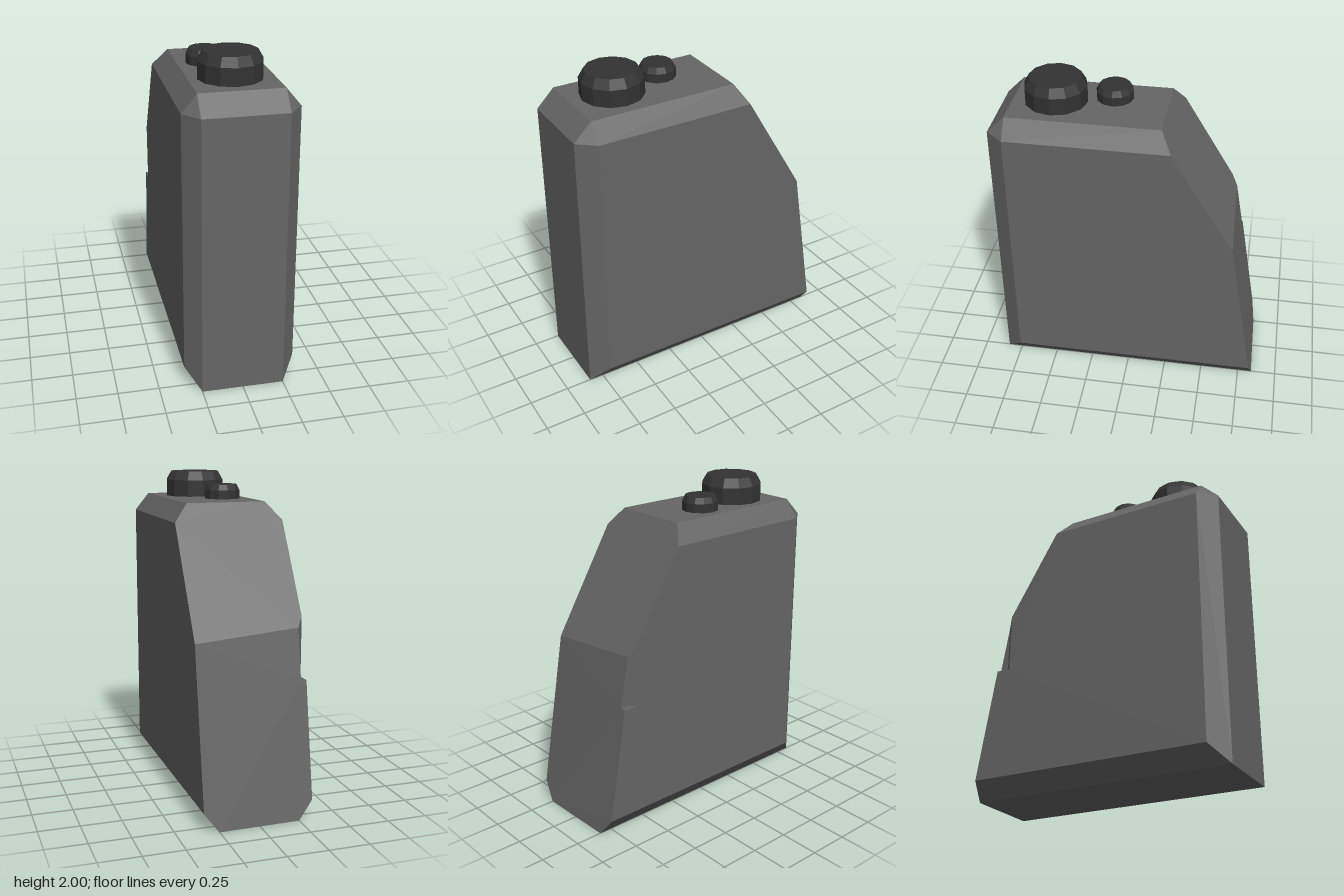
import * as THREE from 'three';

const V = (x, y, z) => new THREE.Vector3(x, y, z);

// Builds a faceted solid from flat polygons, each turned away from an inner point
function facetedSolid(faces, inside) {
  const out = [];
  for (const pts of faces) {
    const n = V(0, 0, 0), mid = V(0, 0, 0);
    pts.forEach((p, i) => {
      n.add(p.clone().cross(pts[(i + 1) % pts.length]));
      mid.addScaledVector(p, 1 / pts.length);
    });
    n.normalize();
    if (n.dot(mid.clone().sub(inside)) < 0) { pts.reverse(); n.negate(); }
    // flatten onto the polygon's own plane for triangulation
    const u = pts[1].clone().sub(pts[0]).normalize();
    const v = n.clone().cross(u);
    const flat = pts.map(p => new THREE.Vector2(p.dot(u), p.dot(v)));
    for (const tri of THREE.ShapeUtils.triangulateShape(flat, []))
      for (const i of tri) out.push(...pts[i].toArray());
  }
  const g = new THREE.BufferGeometry();
  g.setAttribute('position', new THREE.Float32BufferAttribute(out, 3));
  g.computeVertexNormals();
  return g;
}

// Corner points of one side; s = -1 or +1, z values describe the rear outline
function sideCorners(s, zTop, zShoulder, breakY, breakZ, zLow, zBase) {
  return {
    frontBase: V(s * 0.25, 0, 0.84), frontTop: V(s * 0.25, 1.73, 0.84),
    sideFrontLow: V(s * 0.34, 0.115, 0.73), sideFrontTop: V(s * 0.34, 1.73, 0.73),
    topFront: V(s * 0.25, 1.84, 0.73), topBack: V(s * 0.25, 1.84, zTop),
    shoulder: V(s * 0.34, 1.73, zShoulder), bend: V(s * 0.34, breakY, breakZ),
    low: V(s * 0.34, 0.115, zLow), base: V(s * 0.25, 0, zBase)
  };
}

function bodyGeometry() {
  const R = sideCorners(1, -0.2, -0.265, 1.08, -0.655, -0.82, -0.84);
  const L = sideCorners(-1, -0.205, -0.275, 1.19, -0.6, -0.81, -0.83);
  // notch cut in one rear edge
  const inTop = V(-0.305, 1.13, -0.635), inLow = V(-0.305, 0.82, -0.635);
  const rearIn = V(-0.305, 0.82, -0.69), rearOut = V(-0.34, 0.82, -0.69);
  const outLow = V(-0.34, 0.82, -0.6);
  const faces = [
    [L.frontBase, R.frontBase, R.frontTop, L.frontTop],
    [L.frontTop, R.frontTop, R.topFront, L.topFront],
    [L.topFront, R.topFront, R.topBack, L.topBack],
    [L.frontBase, R.frontBase, R.base, L.base],
    // sloping rear and lower rear
    [L.topBack, R.topBack, R.shoulder, R.bend, inTop, L.bend, L.shoulder],
    [inTop, R.bend, R.low, R.base, L.base, L.low, rearOut, rearIn],
    // flat sides
    [R.sideFrontLow, R.sideFrontTop, R.shoulder, R.bend, R.low],
    [L.sideFrontLow, L.sideFrontTop, L.shoulder, L.bend, outLow, rearOut, L.low],
    // notch walls and floor
    [inTop, rearIn, inLow],
    [L.bend, inTop, inLow, outLow],
    [outLow, inLow, rearIn, rearOut]
  ];
  // chamfers on both sides
  for (const S of [L, R]) faces.push(
    [S.frontBase, S.frontTop, S.sideFrontTop, S.sideFrontLow],
    [S.frontTop, S.topFront, S.sideFrontTop],
    [S.topFront, S.topBack, S.shoulder, S.sideFrontTop],
    [S.frontBase, S.sideFrontLow, S.low, S.base]
  );
  return facetedSolid(faces, V(0, 0.6, 0));
}

// Twelve-sided cap with a bevelled top rim
function makeCap(name, material, x, z, r, rTop, yBevel, yTop) {
  const cap = new THREE.Group();
  cap.name = name;
  const y0 = 1.83;
  const skirt = new THREE.Mesh(new THREE.CylinderGeometry(r, r, yBevel - y0, 12, 1, true), material);
  skirt.name = name + 'Skirt';
  skirt.position.y = (y0 + yBevel) / 2;
  const rim = new THREE.Mesh(new THREE.CylinderGeometry(rTop, r, yTop - yBevel, 12, 1, true), material);
  rim.name = name + 'Rim';
  rim.position.y = (yBevel + yTop) / 2;
  const lid = new THREE.Mesh(new THREE.CircleGeometry(rTop, 12), material);
  lid.name = name + 'Lid';
  lid.rotation.x = -Math.PI / 2;
  lid.position.y = yTop;
  cap.add(skirt, rim, lid);
  cap.position.set(x, 0, z);
  return cap;
}

export function createModel() {
  const group = new THREE.Group();
  group.name = 'canister';
  const bodyMat = new THREE.MeshStandardMaterial({ color: 0x666666, flatShading: true });
  const capMat = new THREE.MeshStandardMaterial({ color: 0x333333, flatShading: true });

  const body = new THREE.Mesh(bodyGeometry(), bodyMat);
  body.name = 'body';
  group.add(body);

  group.add(makeCap('largeCap', capMat, -0.005, 0.47, 0.192, 0.16, 1.945, 2.0));
  group.add(makeCap('smallCap', capMat, -0.085, 0.127, 0.113, 0.094, 1.895, 1.93));
  return group;
}
